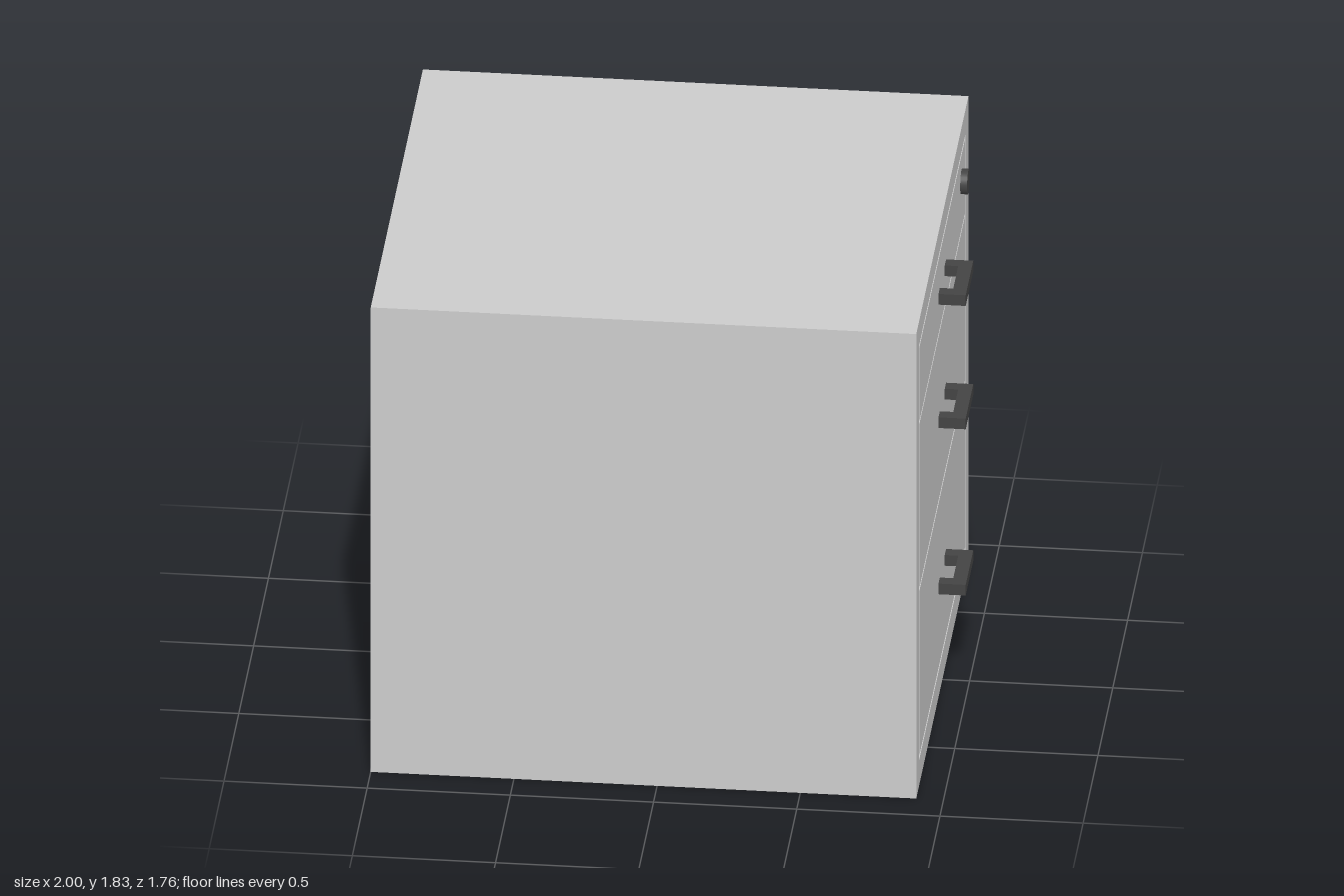
import * as THREE from 'three';

const grey = new THREE.MeshStandardMaterial({ color: 0xcccccc });
const inner = new THREE.MeshStandardMaterial({ color: 0xcccccc, side: THREE.BackSide });
const dark = new THREE.MeshStandardMaterial({ color: 0x444444 });

const FRONT = 0.905; // x of the drawer side
const MID = 0.003;   // z centre of the drawers

function mesh(name, geometry, material) {
  const m = new THREE.Mesh(geometry, material);
  m.name = name;
  return m;
}

// Box given by its limits on each axis; openFront drops the +x face
function box(name, [x0, x1], [y0, y1], [z0, z1], material, openFront = false) {
  const g = new THREE.BoxGeometry(x1 - x0, y1 - y0, z1 - z0);
  g.translate((x0 + x1) / 2, (y0 + y1) / 2, (z0 + z1) / 2);
  if (openFront) {
    g.setIndex(Array.from(g.index.array).slice(6));
    g.clearGroups();
  }
  return mesh(name, g, material);
}

function rectangle(path, w, y0, y1) {
  path.moveTo(-w, y0);
  path.lineTo(w, y0);
  path.lineTo(w, y1);
  path.lineTo(-w, y1);
  path.closePath();
  return path;
}

// Cabinet: outer shell, front rim around the opening, shallow recess
function createCabinet() {
  const cabinet = new THREE.Group();
  cabinet.name = 'cabinet';
  const rim = rectangle(new THREE.Shape(), 0.88, 0, 1.83);
  rim.holes.push(rectangle(new THREE.Path(), 0.788, 0.1, 1.735));
  const rimGeometry = new THREE.ShapeGeometry(rim).rotateY(Math.PI / 2).translate(FRONT, 0, 0);
  cabinet.add(
    box('shell', [-1, FRONT], [0, 1.83], [-0.88, 0.88], grey, true),
    mesh('frontRim', rimGeometry, grey),
    box('recess', [FRONT - 0.06, FRONT], [0.1, 1.735], [-0.788, 0.788], inner, true)
  );
  return cabinet;
}

// U-shaped pull: two legs and a grip, extruded upwards
function createHandle(y) {
  const s = new THREE.Shape();
  const points = [[0, -0.128], [0.095, -0.128], [0.095, 0.128], [0, 0.128],
    [0, 0.083], [0.047, 0.083], [0.047, -0.083], [0, -0.083]];
  s.setFromPoints(points.map(([x, z]) => new THREE.Vector2(x, z)));
  const g = new THREE.ExtrudeGeometry(s, { depth: 0.042, bevelEnabled: false });
  g.rotateX(-Math.PI / 2).translate(FRONT, y - 0.021, MID);
  return mesh('handle', g, dark);
}

export function createModel() {
  const model = new THREE.Group();
  model.name = 'drawerCabinet';
  model.add(createCabinet());

  // Drawers from bottom to top: lower edge, upper edge, handle height
  for (const [y0, y1, handleY] of [[0.115, 0.762, 0.427], [0.775, 1.42, 1.082], [1.431, 1.722, 1.568]]) {
    const drawer = new THREE.Group();
    drawer.name = 'drawer';
    drawer.add(
      box('drawerFront', [FRONT - 0.058, FRONT], [y0, y1], [MID - 0.772, MID + 0.772], grey),
      createHandle(handleY)
    );
    model.add(drawer);
  }

  // Round lock on the top drawer
  const lock = new THREE.CylinderGeometry(0.045, 0.045, 0.024, 32);
  lock.rotateZ(-Math.PI / 2).translate(FRONT + 0.012, 1.62, -0.645);
  model.add(mesh('lock', lock, dark));
  return model;
}
